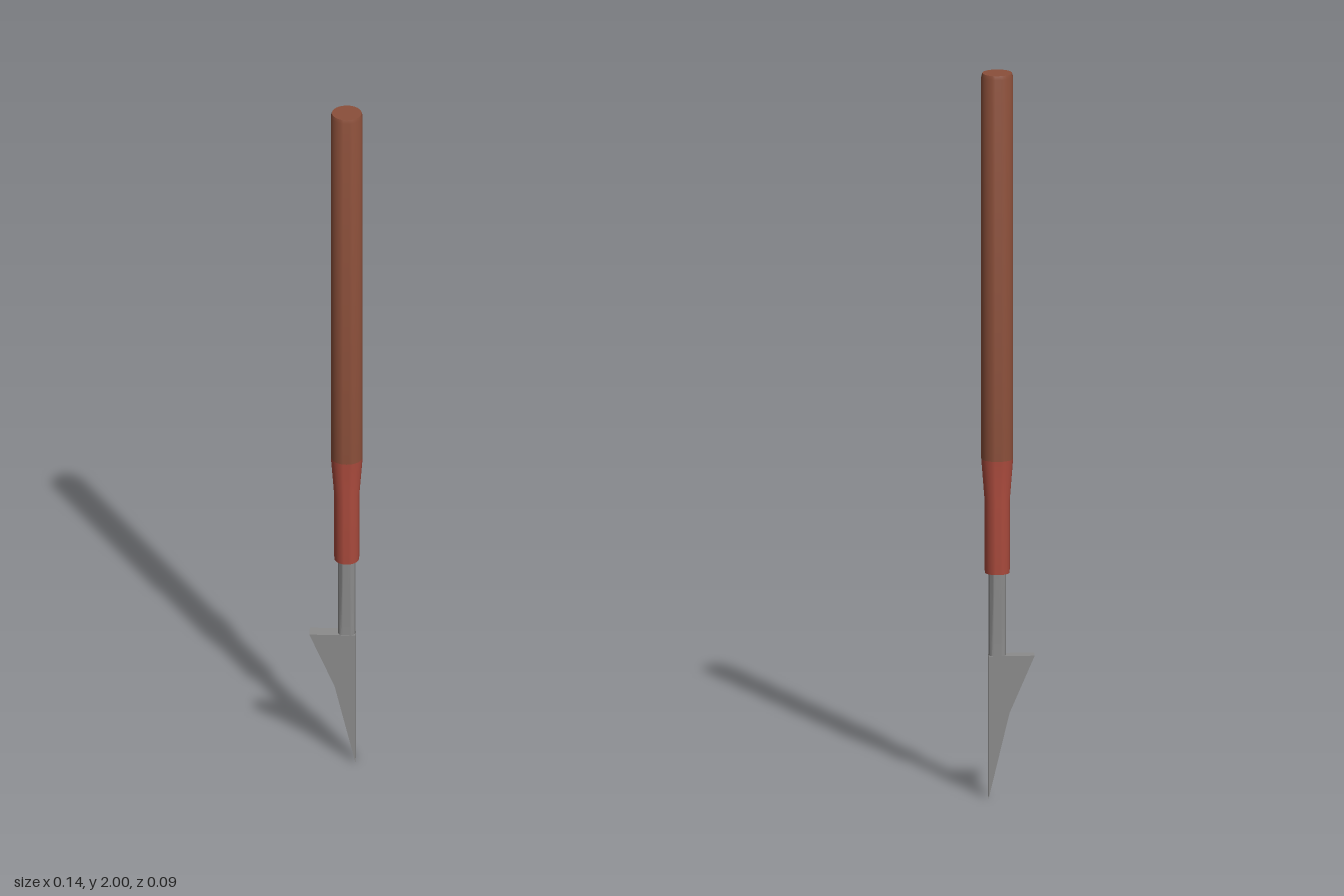
import * as THREE from 'three';
import { toCreasedNormals } from 'three/addons/utils/BufferGeometryUtils.js';

const AXIS_X = 0.027; // the shaft stands off-centre, the barb balances it

function createMaterial(color) {
  return new THREE.MeshStandardMaterial({ color });
}

// Solid of revolution around the shaft axis; points are [radius, y], bottom to top
function turned(name, points, material) {
  const profile = points.map(([r, y]) => new THREE.Vector2(r, y));
  const geometry = toCreasedNormals(new THREE.LatheGeometry(profile, 32), 0.6);
  const mesh = new THREE.Mesh(geometry, material);
  mesh.name = name;
  mesh.position.x = AXIS_X;
  return mesh;
}

export function createModel() {
  const model = new THREE.Group();
  model.name = 'spear';
  const wood = createMaterial(0x8b4f3a);
  const red = createMaterial(0xad4c3e);
  const steel = createMaterial(0x8c8c8c);

  // Long round handle with a slightly eased top edge
  model.add(turned('handle', [
    [0, 0.935], [0.043, 0.935], [0.043, 1.99], [0.04, 2], [0, 2],
  ], wood));

  // Collar that tapers from the handle to the shank
  model.add(turned('collar', [
    [0, 0.62], [0.033, 0.62], [0.034, 0.63], [0.034, 0.82], [0.043, 0.935], [0, 0.935],
  ], red));

  // Round shank, flattened front and back as it nears the blade
  const shankGeometry = new THREE.CylinderGeometry(0.024, 0.024, 0.25, 32, 6);
  shankGeometry.translate(0, 0.505, 0);
  const position = shankGeometry.attributes.position;
  for (let i = 0; i < position.count; i++) {
    const t = THREE.MathUtils.clamp((position.getY(i) - 0.42) / 0.2, 0, 1);
    const limit = THREE.MathUtils.lerp(0.018, 0.024, t);
    position.setZ(i, THREE.MathUtils.clamp(position.getZ(i), -limit, limit));
  }
  const shank = new THREE.Mesh(toCreasedNormals(shankGeometry, 0.6), steel);
  shank.name = 'shank';
  shank.position.x = AXIS_X;
  model.add(shank);

  // Flat one-sided blade with a barb
  const outline = new THREE.Shape([
    [0.051, 0], [0.051, 0.393], [-0.073, 0.393], [-0.005, 0.235],
  ].map(([x, y]) => new THREE.Vector2(x, y)));
  const bladeGeometry = new THREE.ExtrudeGeometry(outline, { depth: 0.038, bevelEnabled: false });
  bladeGeometry.translate(0, 0, -0.019);
  const blade = new THREE.Mesh(bladeGeometry, steel);
  blade.name = 'blade';
  model.add(blade);

  return model;
}
